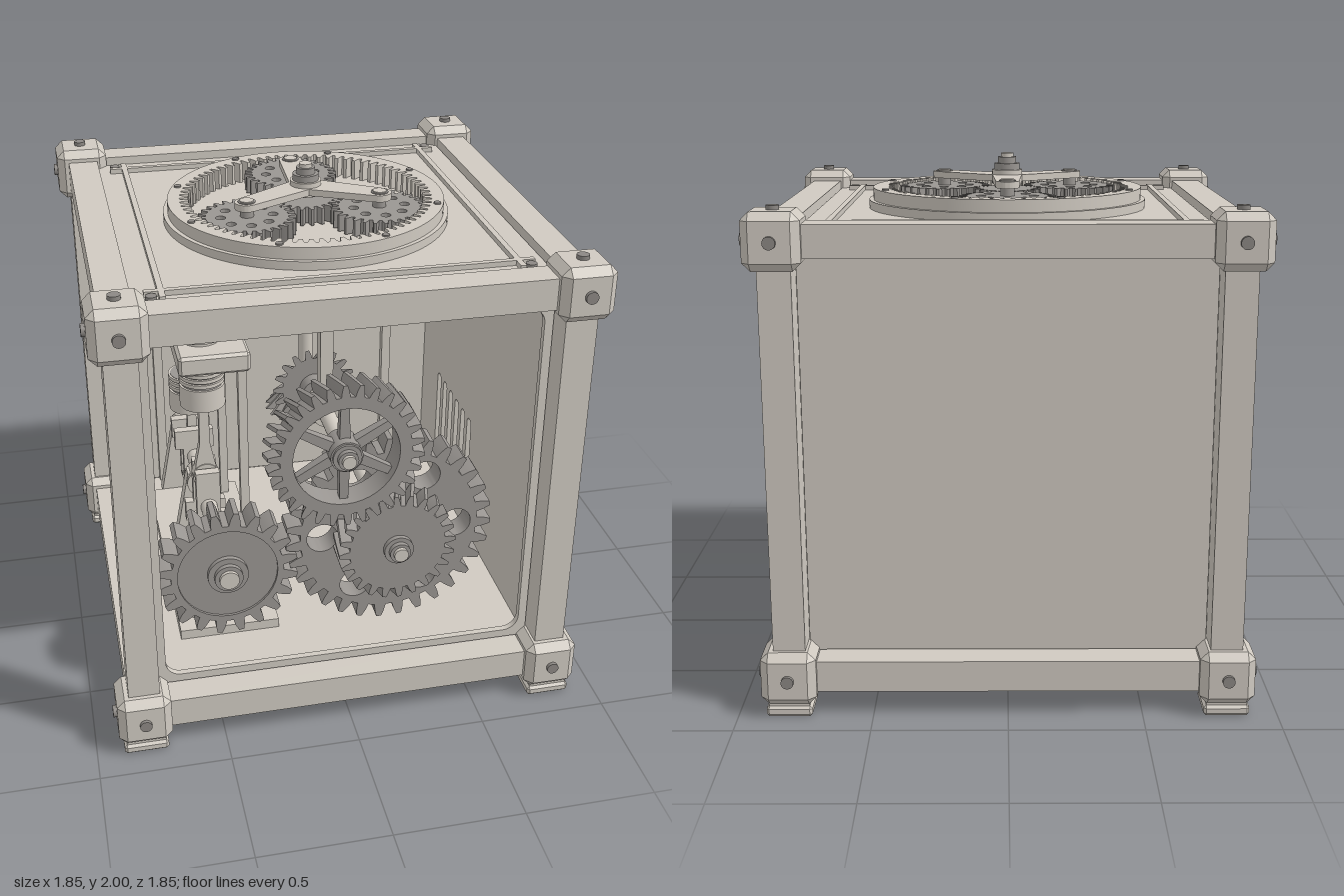
import * as THREE from 'three';
import { toCreasedNormals } from 'three/addons/utils/BufferGeometryUtils.js';
import { ConvexGeometry } from 'three/addons/geometries/ConvexGeometry.js';

const paint = (name, color) => Object.assign(new THREE.MeshStandardMaterial({ color }), { name });
const SIGNS = [-1, 1], TAU = Math.PI * 2;

export function createModel() {
  const root = new THREE.Group();
  root.name = 'gearCube';
  const casing = paint('warmGrey', 0xd0cac1);
  const steel = paint('gearGrey', 0x9a9692);
  const bolt = paint('boltGrey', 0x8c8884);

  // --- helpers ---
  const add = (name, geo, mat, x = 0, y = 0, z = 0, parent = root) => {
    const m = new THREE.Mesh(geo, mat);
    m.name = name;
    m.position.set(x, y, z);
    parent.add(m);
    return m;
  };
  const box = (name, w, h, d, x, y, z) => add(name, new THREE.BoxGeometry(w, h, d), casing, x, y, z);
  const cyl = (name, r, len, axis, x, y, z, mat = casing) => {
    const g = new THREE.CylinderGeometry(r, r, len, 28);
    if (axis === 'z') g.rotateX(Math.PI / 2);
    if (axis === 'x') g.rotateZ(Math.PI / 2);
    return add(name, g, mat, x, y, z);
  };
  const chamferBox = (w, h, d, c) => {
    const pts = [], [a, b, e] = [w / 2, h / 2, d / 2];
    for (const i of SIGNS) for (const j of SIGNS) for (const k of SIGNS) {
      pts.push(new THREE.Vector3(i * a, j * (b - c), k * (e - c)),
        new THREE.Vector3(i * (a - c), j * b, k * (e - c)),
        new THREE.Vector3(i * (a - c), j * (b - c), k * e));
    }
    return new ConvexGeometry(pts);
  };
  const polygon = (pts) => new THREE.Shape(pts.map((p) => new THREE.Vector2(...p)));
  const circle = (r, x = 0, y = 0) => new THREE.Path().absarc(x, y, r, 0, TAU, false);
  const ringOfHoles = (n, r, dist) => Array.from({ length: n }, (_, i) =>
    circle(r, dist * Math.cos(i * TAU / n), dist * Math.sin(i * TAU / n)));
  const toothPoints = (n, r0, r1, rot) => {
    const pts = [];
    for (let i = 0; i < n; i++) {
      for (const [r, f] of [[r0, -0.32], [(r0 + r1) / 2, -0.24], [r1, -0.12], [r1, 0.12], [(r0 + r1) / 2, 0.24], [r0, 0.32]]) {
        const a = rot + (i + f) * TAU / n;
        pts.push(new THREE.Vector2(r * Math.cos(a), r * Math.sin(a)));
      }
    }
    return pts;
  };
  const extrude = (shape, depth, holes = [], steps = 1, curveSegments = 20) => {
    shape.holes.push(...holes);
    return new THREE.ExtrudeGeometry(shape, { depth, steps, bevelEnabled: false, curveSegments });
  };
  // Gear from z = 0 to depth; the teeth may twist (helical) or taper (bevel)
  const gear = (n, r0, r1, depth, { rot = 0, holes = [], twist = 0, taper = 1 } = {}) => {
    const g = extrude(new THREE.Shape(toothPoints(n, r0, r1, rot)), depth, holes, twist ? 5 : 1);
    const p = g.attributes.position;
    for (let i = 0; i < p.count; i++) {
      const t = p.getZ(i) / depth, a = twist * (1 - t), s = 1 + (taper - 1) * t;
      const x = p.getX(i), y = p.getY(i);
      p.setXY(i, s * (x * Math.cos(a) - y * Math.sin(a)), s * (x * Math.sin(a) + y * Math.cos(a)));
    }
    return toCreasedNormals(g, 0.5);
  };

  // --- frame: corner blocks, bolts, feet and beams ---
  const block = chamferBox(0.205, 0.205, 0.205, 0.03);
  for (const x of [-0.81, 0.81]) for (const z of [-0.81, 0.81]) {
    for (const y of [0.15, 1.765]) {
      add('cornerBlock', block, casing, x, y, z);
      cyl('cornerBolt', 0.023, 0.03, 'x', x + Math.sign(x) * 0.101, y, z, bolt);
      cyl('cornerBolt', 0.023, 0.03, 'z', x, y, z + Math.sign(z) * 0.101, bolt);
    }
    cyl('cornerBolt', 0.023, 0.03, 'y', x, 1.868, z, bolt);
    box('footNeck', 0.15, 0.03, 0.15, x, 0.045, z);
    add('foot', chamferBox(0.17, 0.04, 0.17, 0.01), casing, x, 0.02, z);
    box('post', 0.119, 1.45, 0.119, Math.sign(x) * 0.8065, 0.957, Math.sign(z) * 0.8065);
  }
  for (const s of [-0.8065, 0.8065]) for (const y of [0.148, 1.763]) {
    box('crossBeam', 1.45, 0.119, 0.119, 0, y, s);
    box('sideBeam', 0.119, 0.119, 1.45, s, y, 0);
  }

  // --- panels set inside the frame, with a fine gap around them ---
  box('floorPanel', 1.485, 0.04, 1.485, 0, 0.192, 0);
  box('topPanel', 1.485, 0.05, 1.485, 0, 1.765, 0);
  box('backPanel', 1.485, 1.485, 0.03, 0, 0.957, -0.755);
  const square = (h) => polygon([[-h, -h], [h, -h], [h, h], [-h, h]]);
  const roundRect = (x, y, w, h, r) => new THREE.Path()
    .absarc(x + w - r, y + h - r, r, 0, Math.PI / 2).absarc(x - w + r, y + h - r, r, Math.PI / 2, Math.PI)
    .absarc(x - w + r, y - h + r, r, Math.PI, Math.PI * 1.5).absarc(x + w - r, y - h + r, r, Math.PI * 1.5, TAU);
  const slots = Array.from({ length: 6 }, (_, i) => roundRect(0.043 + i * 0.0875, -0.39, 0.025, 0.2, 0.0249));
  add('ventPanel', extrude(square(0.7425), 0.03, slots), casing, 0.74, 0.957, 0).rotation.y = Math.PI / 2;
  const windowGeo = extrude(square(0.7425), 0.025, [roundRect(0, 0, 0.71, 0.71, 0.06)]);
  add('frontWindowFrame', windowGeo, casing, 0, 0.958, 0.74);
  add('sideWindowFrame', windowGeo, casing, -0.74, 0.958, 0).rotation.y = -Math.PI / 2;

  // Ribs inside the back panel and on the top
  for (const s of SIGNS) {
    box('backRib', 0.04, 1.48, 0.04, s * 0.54, 0.96, -0.725);
    box('topRib', 0.022, 0.025, 1.4, s * 0.64, 1.797, 0);
    box('topRib', 1.4, 0.025, 0.022, 0, 1.797, s * 0.64);
    for (const t of SIGNS) cyl('topScrew', 0.02, 0.02, 'y', s * 0.677, 1.797, t * 0.677, bolt);
  }
  box('backCrossRib', 1.42, 0.04, 0.04, -0.015, 1.5, -0.723);

  // --- planetary gear on the top ---
  const top = new THREE.Group();
  top.name = 'planetaryGear';
  top.rotation.x = -Math.PI / 2;
  root.add(top);
  const disc = (name, r, z0, z1, x, y, mat = casing) => {
    const g = new THREE.CylinderGeometry(r, r, z1 - z0, 28).rotateX(Math.PI / 2);
    return add(name, g, mat, x, y, (z0 + z1) / 2, top);
  };
  const round = (r) => new THREE.Shape().absarc(0, 0, r, 0, TAU, false);
  const inner = new THREE.Path(toothPoints(76, 0.452, 0.486, Math.PI / 76));
  add('ringFlange', toCreasedNormals(extrude(round(0.55), 0.035, [circle(0.49)], 1, 64), 0.5), casing, 0, 0, 1.788, top);
  add('ringGear', toCreasedNormals(extrude(round(0.533), 0.08, [inner], 1, 64), 0.5), casing, 0, 0, 1.79, top);
  for (let i = 0; i < 8; i++) {
    const a = (i + 0.5) * TAU / 8;
    disc('ringScrew', 0.014, 1.86, 1.876, 0.51 * Math.cos(a), 0.51 * Math.sin(a), bolt);
  }
  add('sunGear', gear(20, 0.105, 0.135, 0.065), steel, 0, 0, 1.795, top);
  const arm = new THREE.Shape().moveTo(0, -0.06).lineTo(0.295, -0.045)
    .absarc(0.295, 0, 0.045, -Math.PI / 2, Math.PI / 2).lineTo(0, 0.06);
  const armGeo = toCreasedNormals(extrude(arm, 0.026), 0.5);
  for (let i = 0; i < 3; i++) {
    const a = Math.PI / 2 + i * TAU / 3, x = 0.295 * Math.cos(a), y = 0.295 * Math.sin(a);
    const shift = (a % (TAU / 20)) * 20 / 28;
    const rot = a + Math.PI + Math.PI / 28 + shift;
    add('planetGear', gear(28, 0.155, 0.185, 0.065, { rot, holes: ringOfHoles(8, 0.019, 0.1) }), steel, x, y, 1.795, top);
    disc('planetWeb', 0.13, 1.79, 1.81, x, y);
    disc('planetBoss', 0.026, 1.85, 1.892, x, y, steel);
    add('carrierArm', armGeo, casing, 0, 0, 1.89, top).rotation.z = a;
    disc('planetPinRing', 0.033, 1.9, 1.919, x, y, steel);
    disc('planetPin', 0.026, 1.9, 1.923, x, y);
  }
  for (const [r, z0, z1, mat] of [[0.06, 1.88, 1.935, casing], [0.05, 1.935, 1.96, steel],
    [0.036, 1.96, 1.985, steel], [0.025, 1.985, 2, casing]]) disc('carrierHub', r, z0, z1, 0, 0, mat);

  // --- gear train behind the front window ---
  const A = [-0.435, 0.567], B = [0.21, 0.68], D = [0, 1.118];
  const ab = Math.atan2(B[1] - A[1], B[0] - A[0]), dc = Math.atan2(B[1] - D[1], B[0] - D[0]);
  const hub = (r, x, y, z) => {
    cyl('gearHub', r, 0.05, 'z', x, y, z - 0.02, steel);
    cyl('gearCollar', r * 0.7, 0.03, 'z', x, y, z + 0.01, steel);
    cyl('shaftEnd', r * 0.48, 0.04, 'z', x, y, z + 0.02);
  };
  add('crankGear', gear(20, 0.222, 0.277, 0.11, { rot: ab, holes: [circle(0.197)] }), steel, ...A, 0.49);
  cyl('crankGearWeb', 0.2, 0.08, 'z', ...A, 0.55, steel);
  hub(0.08, ...A, 0.605);
  add('largeGear', gear(31, 0.357, 0.415, 0.1, { rot: ab + Math.PI + Math.PI / 31, holes: ringOfHoles(6, 0.062, 0.27) }), steel, ...B, 0.495);
  add('helicalPinion', gear(24, 0.19, 0.232, 0.11, { rot: dc + Math.PI + Math.PI / 24, twist: -0.16 }), steel, ...B, 0.61);
  hub(0.058, ...B, 0.735);
  add('spokedHelicalGear', gear(30, 0.25, 0.297, 0.11, { rot: dc, twist: 0.128, holes: [circle(0.203)] }), steel, ...D, 0.62);
  for (let i = 0; i < 6; i++) {
    const spoke = new THREE.CylinderGeometry(0.022, 0.03, 0.18, 4, 1, false, Math.PI / 4).translate(0, 0.13, 0);
    add('spoke', toCreasedNormals(spoke, 0.5), steel, ...D, 0.675).rotation.z = i * TAU / 6;
  }
  cyl('spokedGearBarrel', 0.062, 0.11, 'z', ...D, 0.675, steel);
  hub(0.055, ...D, 0.735);
  cyl('mainShaft', 0.032, 1.46, 'z', ...B, -0.01);
  cyl('bevelShaft', 0.032, 0.6, 'z', ...D, 0.43);
  box('shaftHanger', 0.05, 0.6, 0.06, 0, 1.44, 0.36);
  cyl('hangerBearing', 0.055, 0.08, 'z', ...D, 0.36);

  // Bevel pair turning the vertical shaft
  const bevel = gear(18, 0.13, 0.168, 0.07, { taper: 0.6 });
  add('drivingBevel', bevel, steel, ...D, 0.17).rotation.y = Math.PI;
  add('drivenBevel', bevel, steel, 0, 0.948, 0).rotation.x = -Math.PI / 2;
  cyl('bevelHub', 0.06, 0.06, 'z', ...D, 0.2, steel);
  cyl('bevelHub', 0.07, 0.06, 'y', 0, 0.92, 0, steel);
  cyl('verticalShaft', 0.029, 0.95, 'y', 0, 1.36, 0);
  cyl('shaftFlange', 0.06, 0.1, 'y', 0, 1.69, 0);

  // --- two-cylinder engine ---
  box('engineBase', 0.4, 0.045, 1.08, -0.42, 0.23, -0.03);
  const stand = polygon([[-0.13, 0], [0.13, 0], [0.06, 0.37], [-0.06, 0.37]]);
  for (const z of [0.4, -0.13, -0.6]) {
    add('crankStand', extrude(stand.clone(), 0.06), casing, A[0], 0.24, z - 0.03);
    cyl('crankBearing', 0.065, 0.09, 'z', ...A, z);
  }
  for (const [z0, z1] of [[0.1, 0.6], [-0.32, -0.06], [-0.66, -0.46]]) cyl('crankshaft', 0.035, z1 - z0, 'z', ...A, (z0 + z1) / 2);
  add('engineBlock', chamferBox(0.285, 0.085, 0.74, 0.012), casing, -0.4025, 1.272, -0.17);
  for (const z of [0.1, -0.5]) box('blockPost', 0.036, 1.0, 0.036, -0.283, 0.735, z);
  const rod = polygon([[-0.05, -0.03], [0.05, -0.03], [0.04, 0.06], [0.022, 0.15], [0.018, 0.4], [-0.018, 0.4],
    [-0.022, 0.15], [-0.04, 0.06]]);
  for (const [z, dir] of [[0.03, 1], [-0.39, -1]]) {
    const pin = A[1] + dir * 0.12, py = pin + 0.41;
    for (const s of SIGNS) {
      box('crankWeb', 0.1, 0.22, 0.04, A[0], A[1] + dir * 0.05, z + s * 0.055);
      box('crankCounterweight', 0.17, 0.09, 0.04, A[0], A[1] - dir * 0.085, z + s * 0.055);
    }
    cyl('crankPin', 0.035, 0.11, 'z', A[0], pin, z);
    add('connectingRod', extrude(rod.clone(), 0.04), casing, A[0], pin, z - 0.02);
    cyl('rodEnd', 0.055, 0.05, 'z', A[0], pin, z);
    // Piston with ring grooves
    cyl('pistonSkirt', 0.093, 0.095, 'y', A[0], py - 0.025, z);
    cyl('pistonCore', 0.084, 0.08, 'y', A[0], py + 0.055, z, steel);
    for (let i = 0; i < 3; i++) cyl('pistonRing', 0.093, 0.015, 'y', A[0], py + 0.042 + i * 0.022, z);
    // Cylinder cap
    cyl('capNeck', 0.08, 0.03, 'y', A[0], 1.325, z);
    cyl('cylinderCap', 0.1, 0.025, 'y', A[0], 1.345, z);
    cyl('capPlug', 0.04, 0.03, 'y', A[0], 1.37, z);
    cyl('blockBolt', 0.015, 0.03, 'y', -0.295, 1.318, z, bolt);
  }
  return root;
}
